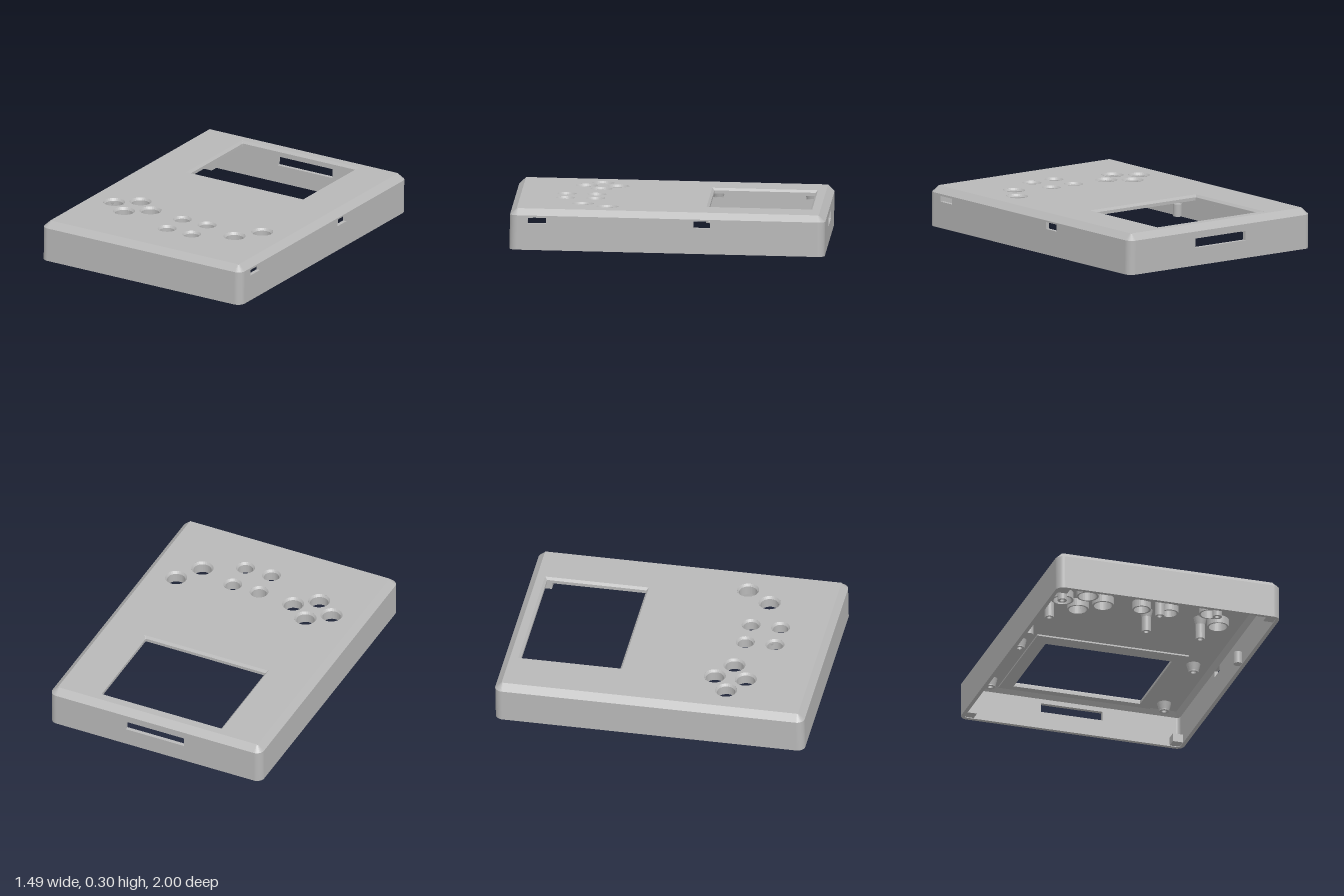
import * as THREE from 'three';

const W = 1.49, L = 2, R = 0.05, T = 0.025;   // width, length, corner radius, wall thickness
const WALL = 0.22, TOP = 0.26, UNDER = 0.235; // wall height, top face, underside of the top plate
const INSET = 0.042;                          // chamfer width

const grey = new THREE.MeshStandardMaterial({ color: 0xb8b8b8, side: THREE.DoubleSide });
grey.name = 'grey plastic';

// Rectangle outline, optionally cutting through a shape; (u0, v0) to (u1, v1)
function rect(Type, u0, v0, u1, v1) {
  const p = new Type();
  p.moveTo(u0, v0).lineTo(u1, v0).lineTo(u1, v1).lineTo(u0, v1).closePath();
  return p;
}

// Rounded rectangle loop at height y
function loop(x0, x1, z0, z1, r, y, n = 8) {
  const pts = [];
  const centres = [[x1 - r, z1 - r], [x0 + r, z1 - r], [x0 + r, z0 + r], [x1 - r, z0 + r]];
  centres.forEach(([cx, cz], q) => {
    for (let i = 0; i <= n; i++) {
      const a = (q + i / n) * Math.PI / 2;
      pts.push(new THREE.Vector3(cx + r * Math.cos(a), y, cz + r * Math.sin(a)));
    }
  });
  return pts;
}

// Flat-faced skin through successive loops
function loft(loops) {
  const pts = [];
  for (let k = 0; k + 1 < loops.length; k++) {
    const a = loops[k], b = loops[k + 1];
    for (let i = 0; i < a.length; i++) {
      const j = (i + 1) % a.length;
      pts.push(a[i], b[i], b[j], a[i], b[j], a[j]);
    }
  }
  const g = new THREE.BufferGeometry().setFromPoints(pts);
  g.computeVertexNormals();
  return g;
}

const extrude = (shape, depth) =>
  new THREE.ExtrudeGeometry(shape, { depth, bevelEnabled: false, curveSegments: 24 });

// Lathed tube whose profile may taper; [radius, height] pairs
const lathe = (profile) =>
  new THREE.LatheGeometry(profile.map(([r, y]) => new THREE.Vector2(r, y)), 32).toNonIndexed();

export function createModel() {
  const model = new THREE.Group();
  const shell = new THREE.Group();
  shell.name = 'caseShell';
  model.add(shell);

  function add(name, geometry, x = 0, y = 0, z = 0, turn = 0) {
    const m = new THREE.Mesh(geometry, grey);
    m.name = name;
    m.position.set(x, y, z);
    m.rotation.y = turn;
    shell.add(m);
    return m;
  }

  // Walls with their port openings; cuts are in wall coordinates
  function wall(name, length, x, z, turn, cuts = []) {
    const s = rect(THREE.Shape, -length / 2, 0, length / 2, WALL);
    cuts.forEach((c) => s.holes.push(rect(THREE.Path, ...c)));
    const g = extrude(s, T);
    g.translate(0, 0, -T);
    add(name, g, x, 0, z, turn);
  }
  wall('frontWall', W - 2 * R, 0, L / 2, 0);
  wall('backWall', W - 2 * R, 0, -L / 2, Math.PI, [[-0.205, 0.115, 0.205, 0.175]]);
  wall('leftWall', L - 2 * R, W / 2, 0, Math.PI / 2,
    [[-0.885, 0.17, -0.77, 0.207], [0.165, 0.165, 0.27, 0.21]]);
  wall('rightWall', L - 2 * R, -W / 2, 0, -Math.PI / 2);

  // Rounded vertical corners
  const arc = new THREE.Shape();
  arc.absarc(0, 0, R, 0, Math.PI / 2, false);
  arc.absarc(0, 0, R - T, Math.PI / 2, 0, true);
  arc.closePath();
  const cornerGeo = extrude(arc, WALL);
  cornerGeo.rotateX(-Math.PI / 2);
  [[1, -1], [-1, -1], [-1, 1], [1, 1]].forEach(([sx, sz], k) =>
    add('wallCorner', cornerGeo, sx * (W / 2 - R), 0, sz * (L / 2 - R), k * Math.PI / 2));

  // Chamfer around the top, outside and inside
  const ring = (inset, r, y) =>
    loop(-W / 2 + inset, W / 2 - inset, -L / 2 + inset, L / 2 - inset, r, y);
  add('topChamfer', loft([ring(0, R, WALL), ring(INSET, 0.008, TOP)]));
  add('innerChamfer', loft([ring(T, R - T, 0.205), ring(INSET + 0.013, 0.008, UNDER)]));

  // Button openings: x, z, outer radius
  const buttons = [
    [-0.4, 0.36, 0.07], [-0.4, 0.56, 0.07], [-0.535, 0.46, 0.07], [-0.265, 0.46, 0.07],
    [-0.015, 0.48, 0.06], [0.17, 0.48, 0.06], [-0.01, 0.67, 0.06], [0.173, 0.67, 0.06],
    [0.525, 0.39, 0.07], [0.418, 0.55, 0.07],
  ];
  const screen = { x0: -0.428, x1: 0.443, z0: -0.905, z1: -0.235 };

  // Top plate with screen and button holes
  const hw = W / 2 - INSET, hl = L / 2 - INSET;
  const plate = rect(THREE.Shape, -hw, -hl, hw, hl);
  plate.holes.push(rect(THREE.Path, screen.x0, -screen.z1, screen.x1, -screen.z0));
  buttons.forEach(([x, z, r]) => {
    const hole = new THREE.Path();
    hole.absarc(x, -z, r, 0, Math.PI * 2, true);
    plate.holes.push(hole);
  });
  const plateGeo = extrude(plate, TOP - UNDER);
  plateGeo.rotateX(-Math.PI / 2);
  add('topPlate', plateGeo, 0, UNDER, 0);

  // Bevelled screen opening and the seat behind it
  const window = (d, y) =>
    loop(screen.x0 + d, screen.x1 - d, screen.z0 + d, screen.z1 - d, 0.001, y, 1);
  add('screenBevel', loft([window(0, TOP), window(0.014, 0.245), window(0.014, 0.225)]));
  const seat = rect(THREE.Shape, -0.5, 0.15, 0.51, 0.94);
  seat.holes.push(rect(THREE.Path, screen.x0 + 0.014, -screen.z1 + 0.014,
    screen.x1 - 0.014, -screen.z0 - 0.014));
  const seatGeo = extrude(seat, 0.01);
  seatGeo.rotateX(-Math.PI / 2);
  add('screenSeat', seatGeo, 0, 0.225, 0);

  // Countersunk guide tube under each button opening
  buttons.forEach(([x, z, r]) => {
    const b = r - 0.012;
    const g = lathe([[r, TOP], [b, 0.245], [b, 0.185], [r, 0.185], [r, TOP]]);
    g.computeVertexNormals();
    add('buttonGuide', g, x, 0, z);
  });

  // Hollow, flared screw posts below the top plate
  function post(name, x, z, tip, r) {
    const g = lathe([[r * 1.4, UNDER], [r, UNDER - 0.05], [r, tip],
      [r * 0.5, tip], [r * 0.5, tip + 0.04], [0, tip + 0.04]]);
    g.computeVertexNormals();
    add(name, g, x, 0, z);
  }
  [[-0.6, 0.39], [-0.6, 0.65], [0.05, 0.38], [0.06, 0.62], [0.41, 0.38], [0.41, 0.72]]
    .forEach(([x, z]) => post('buttonBoardPost', x, z, 0.085, 0.03));
  for (const x of [-0.58, 0.58])
    for (const z of [-0.27, -0.86]) post('screenPost', x, z, 0.18, 0.032);

  // Fixing bosses at the corners and halfway along the side walls
  for (const sx of [-1, 1]) {
    for (const sz of [-1, 1])
      add('cornerBoss', new THREE.BoxGeometry(0.07, 0.055, 0.07),
        sx * (W / 2 - 0.056), 0.0325, sz * (L / 2 - 0.056));
    add('sideBoss', new THREE.CylinderGeometry(0.028, 0.028, 0.08, 24), sx * (W / 2 - 0.048), 0.045, 0.27);
  }

  // The whole case slopes gently up towards the front
  shell.rotation.x = -0.0188;
  shell.position.set(0, 0.0188, 0.002);
  return model;
}
